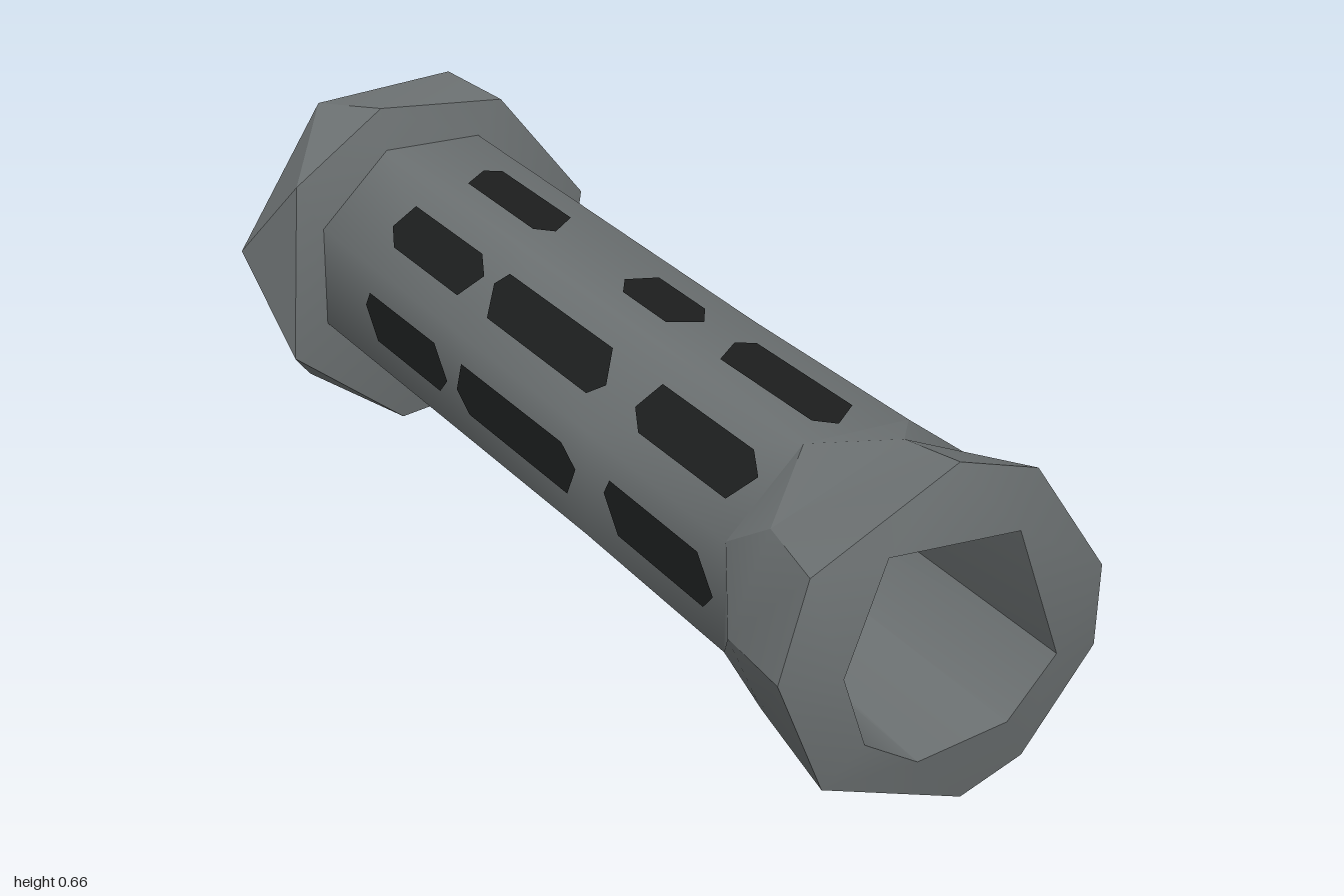
import * as THREE from 'three';
import { toCreasedNormals } from 'three/addons/utils/BufferGeometryUtils.js';

const CY = 0.335;      // bore axis height
const BODY_Y = 0.345;  // body axis height
const TAU = Math.PI * 2;

// A ring of [x, y] points at depth z, sorted by angle around the axis
const ring = (points, z) => points
  .map(([x, y]) => ({ x, y, z, a: (Math.atan2(y - CY, x) + TAU) % TAU }))
  .sort((p, q) => p.a - q.a);

const octagon = (r, z, y = BODY_Y) => ring(Array.from({ length: 8 }, (_, i) => {
  const a = (i + 0.5) * TAU / 8;
  return [r * Math.cos(a), y + r * Math.sin(a)];
}), z);

// Skin between neighbouring rings, which may have different point counts
function skin(rings, crease) {
  const out = [];
  const put = (...ps) => ps.forEach(p => out.push(p.x, p.y, p.z));
  for (let k = 0; k + 1 < rings.length; k++) {
    const b = rings[k], a = rings[k + 1];
    const at = (r, i) => r[i % r.length];
    const angle = (r, i) => at(r, i).a + TAU * Math.floor(i / r.length);
    let i = 0, j = 0;
    while (i < a.length || j < b.length) {
      const stepA = j >= b.length || (i < a.length &&
        angle(a, i) + angle(a, i + 1) <= angle(b, j) + angle(b, j + 1));
      if (stepA) { put(at(a, i), at(b, j), at(a, i + 1)); i++; }
      else { put(at(a, i), at(b, j), at(b, j + 1)); j++; }
    }
  }
  const g = new THREE.BufferGeometry();
  g.setAttribute('position', new THREE.Float32BufferAttribute(out, 3));
  return toCreasedNormals(g, crease);
}

export function createModel() {
  const group = new THREE.Group();
  const metal = new THREE.MeshStandardMaterial({ color: 0x6c7172 });
  metal.name = 'grey metal';
  const dark = new THREE.MeshStandardMaterial({ color: 0x1c1e1e });
  dark.name = 'dark openings';
  const add = (name, geometry, material, parent = group) => {
    const mesh = new THREE.Mesh(geometry, material);
    mesh.name = name;
    parent.add(mesh);
    return mesh;
  };

  // Irregular outlines of the two ends
  const rearHole = ring([[-0.045, 0.447], [0.07, 0.44], [0.115, 0.41], [0.125, 0.36], [0.065, 0.23],
    [0.005, 0.205], [-0.055, 0.215], [-0.125, 0.32], [-0.115, 0.39]], -0.995);
  const flangeBack = ring([[0.115, 0.66], [0.28, 0.51], [0.34, 0.3], [0.185, 0.05],
    [-0.06, 0], [-0.21, 0.073], [-0.34, 0.36], [-0.165, 0.637]], -0.98);
  const flangeFront = ring([[-0.1, 0.66], [0.155, 0.64], [0.33, 0.42], [0.295, 0.19],
    [0.17, 0.05], [-0.075, 0.01], [-0.3, 0.18], [-0.28, 0.53]], -0.825);
  const frontRim = ring([[0.01, 0.625], [0.15, 0.585], [0.28, 0.395], [0.275, 0.26], [0.15, 0.1],
    [0.04, 0.057], [-0.21, 0.14], [-0.29, 0.335], [-0.24, 0.497]], 0.98);
  const frontHole = ring([[-0.12, 0.51], [0.11, 0.5], [0.19, 0.275], [0.105, 0.18],
    [-0.055, 0.155], [-0.15, 0.21], [-0.19, 0.33]], 1);
  const collarBack = ring([[0.02, 0.595], [0.17, 0.52], [0.24, 0.37], [0.215, 0.22],
    [0.1, 0.11], [-0.07, 0.095], [-0.22, 0.2], [-0.28, 0.335], [-0.21, 0.5]], 0.82);

  // Body stations: depth and corner radius
  const stations = [[-0.81, 0.254], [-0.245, 0.248], [0.26, 0.243], [0.72, 0.246]];
  const body = stations.map(([z, r]) => octagon(r, z));

  add('rearFlange', skin([rearHole, flangeBack, flangeFront, body[0]], 0.45), metal);
  add('slottedBody', skin(body, 0.82), metal);
  add('frontCollar', skin([body[3], collarBack, frontRim, frontHole], 0.6), metal);
  add('bore', skin([frontHole, rearHole], 0.5), metal);

  // Dark slots: eight columns of three, laid on the flats of the body
  const radiusAt = z => {
    let k = 0;
    while (k < stations.length - 2 && z > stations[k + 1][0]) k++;
    const [z0, r0] = stations[k], [z1, r1] = stations[k + 1];
    return r0 + (r1 - r0) * (z - z0) / (z1 - z0);
  };
  const slots = new THREE.Group();
  slots.name = 'slots';
  group.add(slots);
  const rows = [[-0.61, -0.26], [-0.22, 0.23], [0.33, 0.69]];
  const w = 0.043;
  for (let c = 0; c < 8; c++) {
    const a = c * TAU / 8;
    rows.forEach(([back, front], r) => {
      const z0 = c === 2 && r === 1 ? 0 : back;
      const lean = (c + r) % 2 ? 1 : -1;
      // Outline as [sideways, depth], with slanted ends
      const outline = [[-w, z0 + 0.02], [w * 0.3 * lean, z0], [w, z0 + 0.05],
        [w, front - 0.03], [-w * 0.3 * lean, front], [-w, front - 0.05]];
      const pts = outline.map(([t, z]) => {
        const d = radiusAt(z) * Math.cos(Math.PI / 8) + 0.004;
        return new THREE.Vector3(d * Math.cos(a) - t * Math.sin(a),
          BODY_Y + d * Math.sin(a) + t * Math.cos(a), z);
      });
      const tris = [];
      for (let i = 1; i < 5; i++) tris.push(pts[0], pts[i + 1], pts[i]);
      const g = new THREE.BufferGeometry().setFromPoints(tris);
      // Keep the outer side of every plate facing away from the axis
      const n = new THREE.Triangle(...tris.slice(0, 3)).getNormal(new THREE.Vector3());
      if (n.x * Math.cos(a) + n.y * Math.sin(a) < 0) g.setFromPoints(tris.reverse());
      g.computeVertexNormals();
      add('slot', g, dark, slots);
    });
  }

  // Dark marks around the rear hole
  for (const [x, y] of [[0.04, 0.465], [0.135, 0.33], [-0.02, 0.19]]) {
    const mark = add('rearMark', new THREE.CircleGeometry(0.035, 7), dark);
    mark.position.set(x, y, -0.999);
    mark.rotation.y = Math.PI;
  }
  return group;
}
